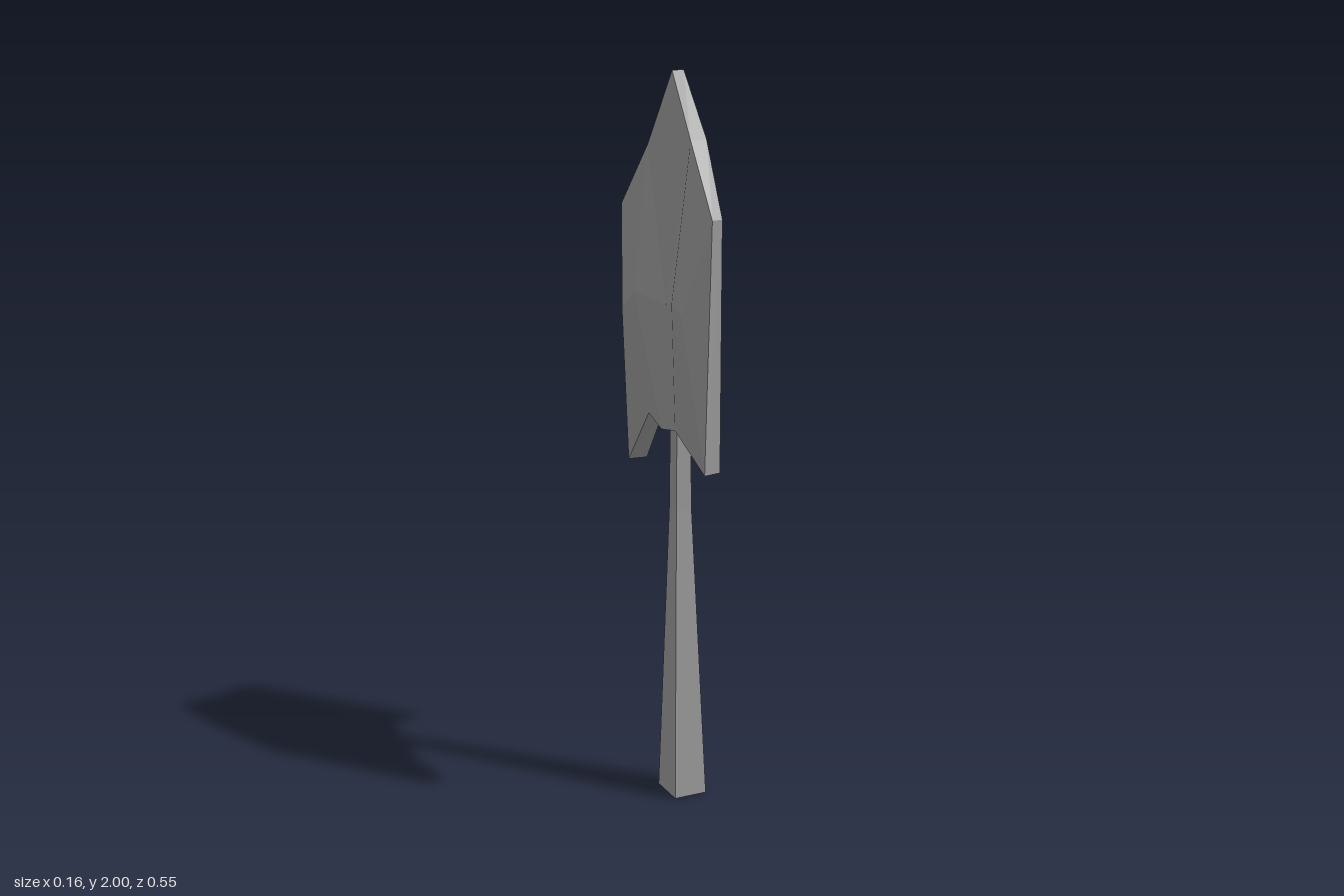
import * as THREE from 'three';

const material = new THREE.MeshStandardMaterial({ color: 0x999999, flatShading: true });

// Rim of the blade from the tip, down the +z edge and up the -z edge:
// letter: [y, z of +x face, x of +x face, z of -x face, x of -x face]
const rim = {
  T: [2.0, 0.012, 0.027, 0.02, -0.012],
  A: [1.835, 0.15, 0.013, 0.152, -0.035],
  B: [1.65, 0.265, -0.01, 0.27, -0.042],
  C: [1.0, 0.265, -0.012, 0.272, -0.062],
  D: [1.085, 0.155, 0.015, 0.118, -0.06],
  E: [1.06, 0.01, 0.03, 0.0, -0.033],
  F: [1.08, -0.12, 0.045, -0.103, -0.014],
  G: [0.91, -0.253, 0.064, -0.262, 0.01],
  H: [1.63, -0.263, 0.058, -0.275, 0.0],
  I: [1.8, -0.14, 0.045, -0.13, 0.0],
};
// Inner points of each face: [x, y, z]
const frontInner = { K: [0.018, 1.357, 0.135], M: [0.037, 1.34, 0.072], N: [0.03, 1.4, 0.0] };
const backInner = {
  P: [-0.06, 1.42, -0.1], Q: [-0.05, 1.36, -0.185], V: [-0.036, 1.4, 0.03],
  R: [-0.083, 1.425, 0.14], S: [-0.083, 1.4, 0.19],
};
const frontFaces = 'TAM TMN AKM ABK BCK CDK DMK DEM ENM NEF FGH NFH NHI NIT';
const backFaces = 'TAV TVI IVP ABS ASR ARV BCS CDS DRS DVR DEV EPV EFP FQP FGQ GHQ HIQ IPQ';

function facetedMesh(name, triangles) {
  const geometry = new THREE.BufferGeometry();
  geometry.setAttribute('position', new THREE.Float32BufferAttribute(triangles.flat(2), 3));
  geometry.computeVertexNormals();
  const mesh = new THREE.Mesh(geometry, material);
  mesh.name = name;
  return mesh;
}

// Thin blade with a slightly dented +x face and a ridged -x face
function makeBlade() {
  const front = { ...frontInner };
  const back = { ...backInner };
  for (const [key, [y, zf, xf, zb, xb]] of Object.entries(rim)) {
    front[key] = [xf, y, zf];
    back[key] = [xb, y, zb];
  }
  const triangles = [];
  for (const f of frontFaces.split(' ')) triangles.push([...f].map((k) => front[k]));
  for (const f of backFaces.split(' ')) triangles.push([...f].reverse().map((k) => back[k]));
  const keys = Object.keys(rim);
  keys.forEach((a, i) => {
    const b = keys[(i + 1) % keys.length];
    triangles.push([front[a], back[a], back[b]], [front[a], back[b], front[b]]);
  });
  return facetedMesh('blade', triangles);
}

// Four-sided handle, thick at the base and running up the blade as a thin rib
function makeHandle() {
  // [y, x min, x max, z min, z max]
  const sections = [
    [0.004, -0.02, 0.079, -0.042, 0.052],
    [0.83, 0.003, 0.05, -0.021, 0.018],
    [1.06, 0.004, 0.047, -0.018, 0.018],
    [1.645, 0.012, 0.044, -0.006, 0.02],
  ];
  const rings = sections.map(([y, x0, x1, z0, z1]) =>
    [[x0, y, z1], [x1, y, z1], [x1, y, z0], [x0, y, z0]]);
  // the base is cut slightly askew
  rings[0][1][1] = 0;
  rings[0][2][0] = 0.082;
  rings[0][3][1] = 0.012;
  const triangles = [];
  const quad = (a, b, c, d) => triangles.push([a, b, c], [a, c, d]);
  for (let r = 0; r < rings.length - 1; r++) {
    for (let i = 0; i < 4; i++) {
      const j = (i + 1) % 4;
      quad(rings[r][i], rings[r][j], rings[r + 1][j], rings[r + 1][i]);
    }
  }
  quad(...rings[rings.length - 1]);
  quad(...[...rings[0]].reverse());
  return facetedMesh('handle', triangles);
}

export function createModel() {
  const group = new THREE.Group();
  group.name = 'spade';
  group.add(makeBlade(), makeHandle());
  return group;
}
